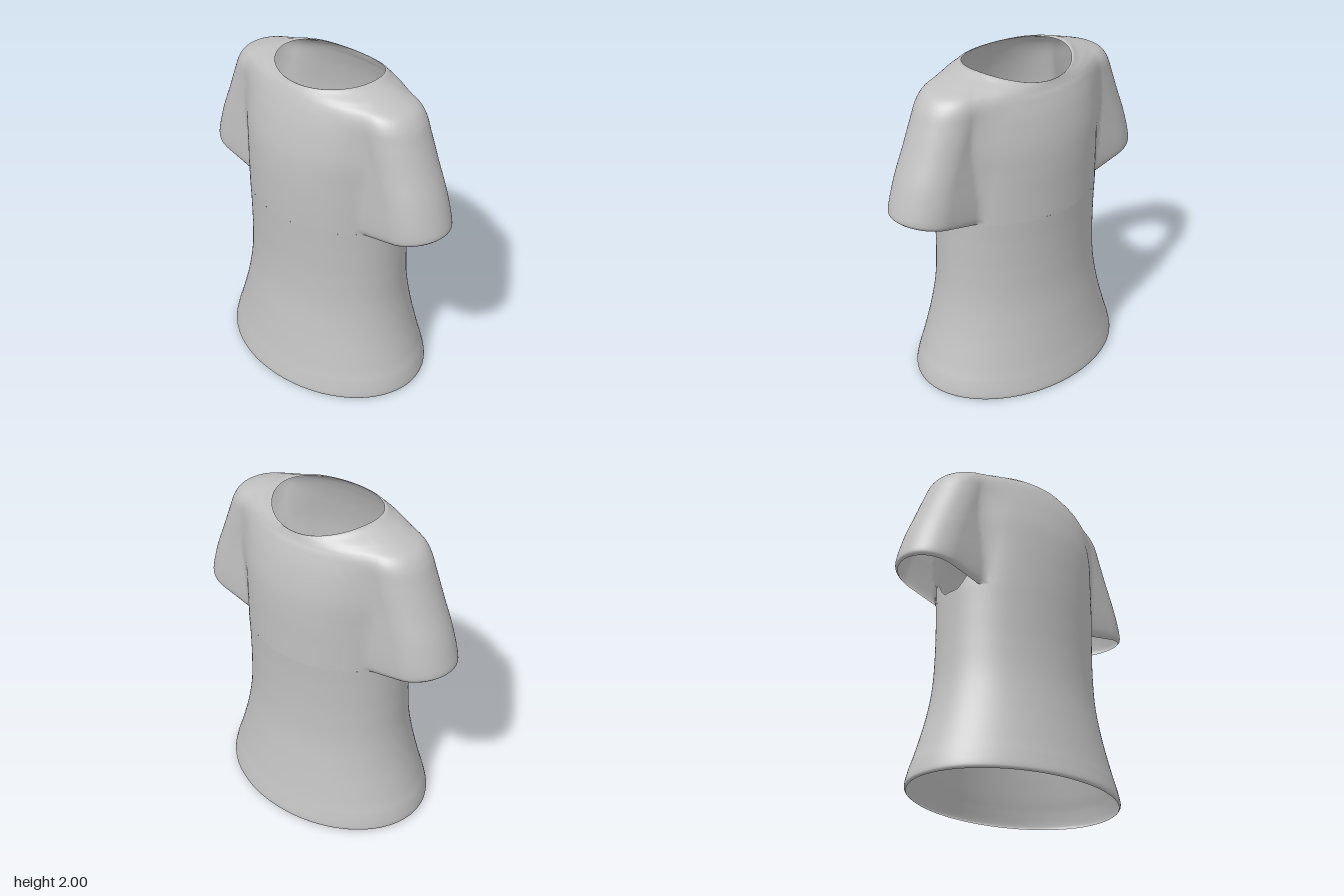
import * as THREE from 'three';
import { ParametricGeometry } from 'three/addons/geometries/ParametricGeometry.js';

// Lower torso rings: y, half width, front depth, back depth
const TORSO = [
  [0, 0.69, 0.515, 0.51], [0.02, 0.703, 0.525, 0.52], [0.1, 0.685, 0.508, 0.503],
  [0.2, 0.65, 0.485, 0.48], [0.4, 0.59, 0.447, 0.442], [0.6, 0.552, 0.417, 0.412],
  [0.8, 0.54, 0.406, 0.402], [1.0, 0.538, 0.408, 0.403], [1.15, 0.54, 0.413, 0.41],
];

// Upper rings: y at side, front, back; half width; chest half width,
// front depth, back depth; sleeve radius; blend; rise of the sleeve outwards
const UPPER = [
  [1.15, 1.15, 1.15, 0.885, 0.54, 0.413, 0.41, 0.19, 0.02, 0.22],
  [1.19, 1.19, 1.19, 0.9, 0.54, 0.414, 0.41, 0.207, 0.03, 0.17],
  [1.3, 1.3, 1.3, 0.887, 0.54, 0.415, 0.41, 0.21, 0.05, 0.05],
  [1.45, 1.45, 1.45, 0.845, 0.54, 0.413, 0.41, 0.205, 0.08, 0],
  [1.6, 1.6, 1.6, 0.782, 0.55, 0.4, 0.4, 0.2, 0.1, 0],
  [1.75, 1.75, 1.75, 0.72, 0.55, 0.367, 0.37, 0.2, 0.1, 0],
  [1.85, 1.85, 1.85, 0.675, 0.55, 0.335, 0.337, 0.2, 0.1, 0],
  [1.91, 1.91, 1.89, 0.62, 0.54, 0.31, 0.318, 0.185, 0.08, 0],
  [1.95, 1.94, 1.91, 0.52, 0.48, 0.295, 0.31, 0.17, 0.06, 0],
  [1.98, 1.96, 1.925, 0.42, 0.4, 0.282, 0.305, 0.18, 0.03, 0],
  [2.0, 1.97, 1.93, 0.36, 0.355, 0.275, 0.303, 0.19, 0.01, 0],
  [1.995, 1.97, 1.93, 0.333, 0.333, 0.27, 0.3, 0.19, 0.01, 0],
];

// Smooth interpolation between the rows of a table
function sample(rows, v) {
  const n = rows.length - 1;
  const f = THREE.MathUtils.clamp(v, 0, 1) * n;
  const i = Math.min(Math.floor(f), n - 1);
  const t = f - i;
  const a = rows[Math.max(i - 1, 0)], b = rows[i], c = rows[i + 1], d = rows[Math.min(i + 2, n)];
  return b.map((p, k) => {
    const m0 = (c[k] - a[k]) / 2, m1 = (d[k] - p) / 2;
    return p + m0 * t + (3 * (c[k] - p) - 2 * m0 - m1) * t * t
      + (2 * (p - c[k]) + m0 + m1) * t * t * t;
  });
}

function smoothMax(a, b, k) {
  const h = Math.max(k - Math.abs(a - b), 0) / Math.max(k, 1e-5);
  return Math.max(a, b) + h * h * k * 0.25;
}

// Elliptical body from the hem to the armpits
function lowerPoint(u, v, target) {
  const [y, w, front, back] = sample(TORSO, v);
  const a = u * Math.PI * 2, s = -Math.sin(a);
  target.set(w * Math.cos(a), y, s * (s > 0 ? front : back));
}

// Chest ellipse blended with rounded sleeves, closing in to the neck
function upperPoint(u, v, target) {
  const [ySide, yFront, yBack, X, w, front, back, r, k, rise] = sample(UPPER, v);
  const a = u * Math.PI * 2, s = -Math.sin(a);
  const x = X * Math.cos(a), ax = Math.abs(x);
  const t = 1 - (x / w) ** 2;
  const chest = (s > 0 ? front : back) * Math.sign(t) * Math.sqrt(Math.abs(t));
  const e = Math.max(0, ax - (X - r)) / r;
  const sleeve = r * Math.sqrt(Math.max(0, 1 - e * e));
  const z = smoothMax(chest, sleeve, k * Math.abs(s));
  const y = ySide + ((s > 0 ? yFront : yBack) - ySide) * s * s;
  target.set(x, y + rise * Math.max(0, ax - 0.5), s < 0 ? -z : z);
}

// Small inner wall between the body and the sleeve opening
function gussetPoint(side) {
  return (u, v, target) => {
    const z = (0.5 - u) * 0.4 * side;
    const x = 0.54 * Math.sqrt(1 - (z / 0.412) ** 2);
    const h = 0.12 * THREE.MathUtils.smoothstep(Math.abs(z), 0.04, 0.17);
    target.set(side * x, 1.15 + h * v, z);
  };
}

export function createModel() {
  const group = new THREE.Group();
  group.name = 'shirt';
  const fabric = new THREE.MeshStandardMaterial({ color: 0xc0c0c0, side: THREE.DoubleSide });
  fabric.name = 'grey fabric';

  const add = (name, fn, slices, stacks) => {
    const mesh = new THREE.Mesh(new ParametricGeometry(fn, slices, stacks), fabric);
    mesh.name = name;
    group.add(mesh);
  };

  add('lowerBody', lowerPoint, 128, 48);
  add('shouldersAndSleeves', upperPoint, 192, 77);
  add('leftArmpit', gussetPoint(1), 24, 4);
  add('rightArmpit', gussetPoint(-1), 24, 4);
  return group;
}
